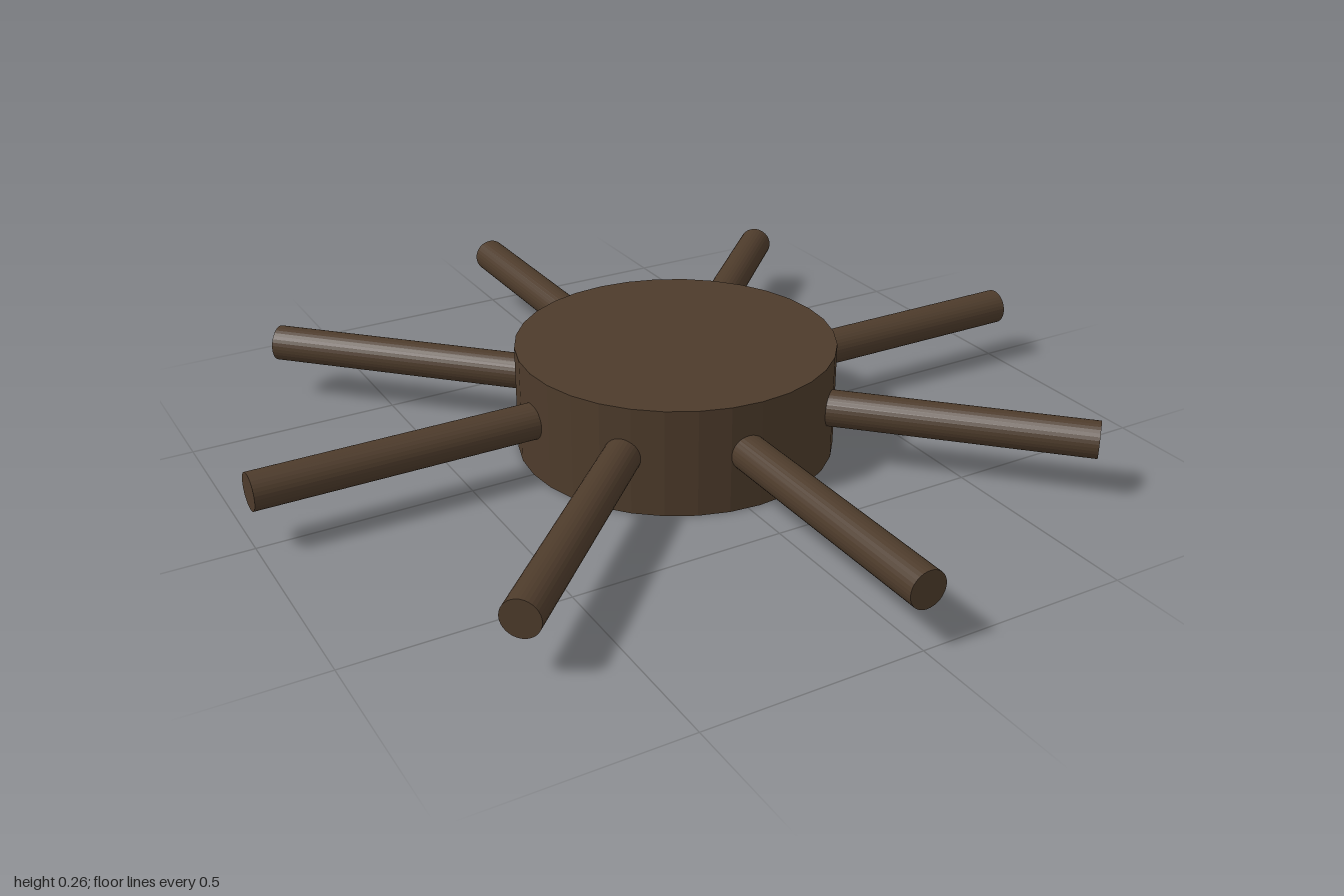
import * as THREE from 'three';

export function createModel() {
  const model = new THREE.Group();
  model.name = 'spokedHub';
  const wood = new THREE.MeshStandardMaterial({ color: 0x4d3b2b, flatShading: true });

  // Thick round hub, set slightly off the spoke centre
  const hub = new THREE.Mesh(new THREE.CylinderGeometry(0.377, 0.377, 0.257, 32), wood);
  hub.name = 'hub';
  hub.position.set(0.03, 0.1285, 0);
  model.add(hub);

  // Four full-length rods crossing at the centre give eight spokes
  const rodGeometry = new THREE.CylinderGeometry(0.043, 0.043, 2, 32).rotateX(Math.PI / 2);
  for (let i = 0; i < 4; i++) {
    const rod = new THREE.Mesh(rodGeometry, wood);
    rod.name = `spokeRod${i + 1}`;
    rod.position.y = 0.138;
    rod.rotation.y = (i * Math.PI) / 4;
    model.add(rod);
  }
  return model;
}
